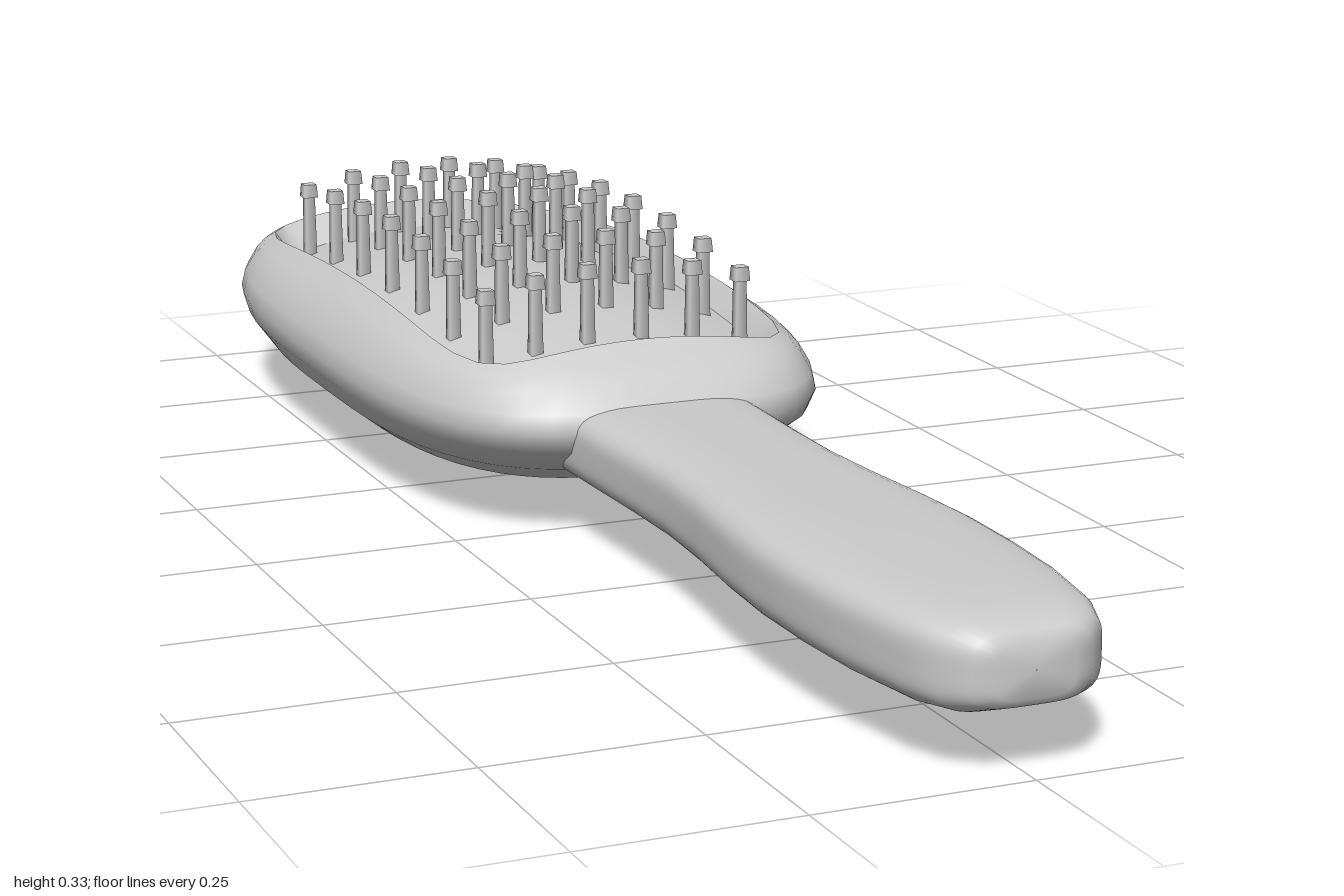
import * as THREE from 'three';
import { mergeGeometries } from 'three/addons/utils/BufferGeometryUtils.js';

const SEG = 64;
const HEAD_Z = -0.457;
const material = new THREE.MeshStandardMaterial({ color: 0xcccccc });

// Unit superellipse point; a higher n gives squarer corners
function squircle(j, n) {
  const t = (j / SEG) * Math.PI * 2;
  const c = Math.cos(t), s = Math.sin(t);
  const k = Math.pow(Math.abs(c) ** n + Math.abs(s) ** n, -1 / n);
  return [c * k, s * k];
}

// Smooth skin through a list of rings, point(ring, j) giving each vertex
function loft(name, rings, point) {
  const pos = [], idx = [];
  rings.forEach((ring, i) => {
    for (let j = 0; j < SEG; j++) {
      pos.push(...point(ring, j));
      if (i === rings.length - 1) continue;
      const a = i * SEG + j, b = i * SEG + ((j + 1) % SEG);
      idx.push(a, a + SEG, b, b, a + SEG, b + SEG);
    }
  });
  const geo = new THREE.BufferGeometry();
  geo.setAttribute('position', new THREE.Float32BufferAttribute(pos, 3));
  geo.setIndex(idx);
  geo.computeVertexNormals();
  const mesh = new THREE.Mesh(geo, material);
  mesh.name = name;
  return mesh;
}

// Domed cushion height
const PAD_A = 0.197, PAD_B = 0.39;
const padY = (x, z) => 0.23 - 0.03 * ((x / PAD_A) ** 2 + (z / PAD_B) ** 2);

// Head ring: half width, half length, height, corner drop, squareness
function headPoint([a, b, y, drop, n], j) {
  const [u, v] = squircle(j, n);
  return [a * u, y - drop * u * u * v * v, HEAD_Z + b * v];
}

function padPoint(scale, j) {
  const [u, v] = squircle(j, 12);
  const x = u * PAD_A * scale, z = v * PAD_B * scale;
  return [x, padY(x, z), HEAD_Z + z];
}

export function createModel() {
  const group = new THREE.Group();

  // Head shell, from the underside up to the rim crest
  const crest = [0.221, 0.448, 0.226, 0.03, 7];
  group.add(loft('headShell', [
    [0.0005, 0.001, 0.001, 0, 2.2],
    [0.08, 0.15, 0.007, 0, 2.3],
    [0.16, 0.3, 0.022, 0, 2.5],
    [0.22, 0.415, 0.048, 0, 2.8],
    [0.262, 0.49, 0.081, 0, 3.1],
    [0.282, 0.532, 0.113, 0, 3.3],
    [0.287, 0.543, 0.138, 0, 3.4],
    [0.281, 0.535, 0.162, 0.005, 3.5],
    [0.263, 0.508, 0.19, 0.015, 4],
    [0.243, 0.48, 0.209, 0.022, 5],
    crest,
  ], headPoint));

  // Inner lip dropping from the crest to the cushion
  group.add(loft('rimLip', [crest, [PAD_A, PAD_B, 0.2, 0.03, 12]], headPoint));

  // Cushion
  group.add(loft('cushion', [1, 0.85, 0.7, 0.55, 0.4, 0.25, 0.1, 0.001], padPoint));

  // Handle, from the tip to inside the head: z, half width, half height
  group.add(loft('handle', [
    [1, 0.0005, 0.0005], [1, 0.045, 0.03], [0.99, 0.068, 0.04], [0.965, 0.093, 0.049],
    [0.92, 0.11, 0.053], [0.82, 0.127, 0.054], [0.72, 0.134, 0.054], [0.62, 0.135, 0.054],
    [0.52, 0.129, 0.053], [0.42, 0.119, 0.052], [0.32, 0.113, 0.051], [0.22, 0.115, 0.05],
    [0.1, 0.12, 0.049], [-0.03, 0.125, 0.048],
  ], ([z, w, h], j) => {
    const [u, v] = squircle(j, 4);
    return [w * u - 0.003, 0.117 + h * v, z];
  }));

  // Bristles: square tapered pins with a small knob
  const shaft = new THREE.CylinderGeometry(0.009, 0.011, 0.1, 4).translate(0, 0.035, 0);
  const knob = new THREE.CylinderGeometry(0.012, 0.014, 0.018, 4).translate(0, 0.09, 0);
  const pin = mergeGeometries([shaft, knob]).rotateY(Math.PI / 4);
  const bristles = new THREE.Group();
  bristles.name = 'bristles';
  for (let row = 0; row < 7; row++) {
    const z = -0.8 + row * 0.116;
    for (const x of [-0.17, -0.105, -0.036, 0.036, 0.105, 0.17]) {
      const bristle = new THREE.Mesh(pin, material);
      bristle.name = 'bristle';
      bristle.position.set(x, padY(x, z - HEAD_Z), z);
      bristles.add(bristle);
    }
  }
  group.add(bristles);
  return group;
}
